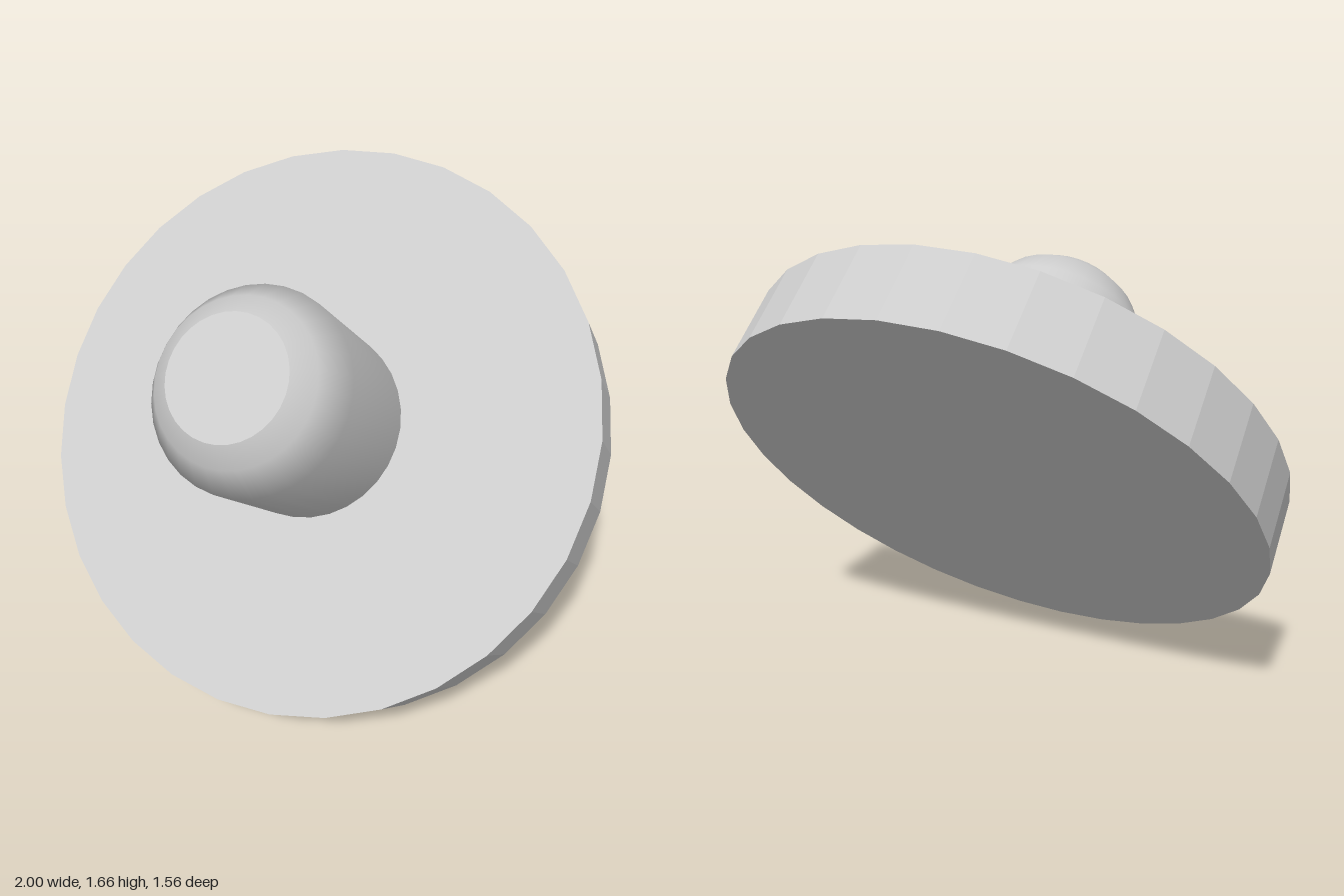
import * as THREE from 'three';

const RADIUS = 1, THICKNESS = 0.28;   // base disc
const KNOB_TOP = 0.667, CAP_RADIUS = 0.2;

export function createModel() {
  const group = new THREE.Group();
  group.name = 'tiltedKnob';
  const faceted = new THREE.MeshStandardMaterial({ color: 0xcccccc, flatShading: true });
  const smooth = new THREE.MeshStandardMaterial({ color: 0xcccccc });

  // Everything is built around a common axis, then tilted towards the front
  const body = new THREE.Group();
  body.name = 'body';
  body.rotation.x = Math.atan2(0.735, 0.678);
  body.position.y = 0.832;
  group.add(body);

  const add = (name, geometry, material, y) => {
    const mesh = new THREE.Mesh(geometry, material);
    mesh.name = name;
    mesh.position.y = y;
    body.add(mesh);
    return mesh;
  };

  // Thick round plate
  const disc = add('disc', new THREE.CylinderGeometry(RADIUS, RADIUS, THICKNESS, 32), faceted, 0);
  disc.rotation.y = 0.015;

  // Knob barrel with a rounded shoulder
  const profile = [[0.337, -0.02], [0.337, 0.5], [0.267, 0.61], [CAP_RADIUS, KNOB_TOP]]
    .map(([r, y]) => new THREE.Vector2(r, y));
  add('knobBarrel', new THREE.LatheGeometry(profile, 32), smooth, THICKNESS / 2);

  // Flat end of the knob
  const cap = new THREE.CircleGeometry(CAP_RADIUS, 32).rotateX(-Math.PI / 2);
  add('knobCap', cap, smooth, THICKNESS / 2 + KNOB_TOP);

  return group;
}
